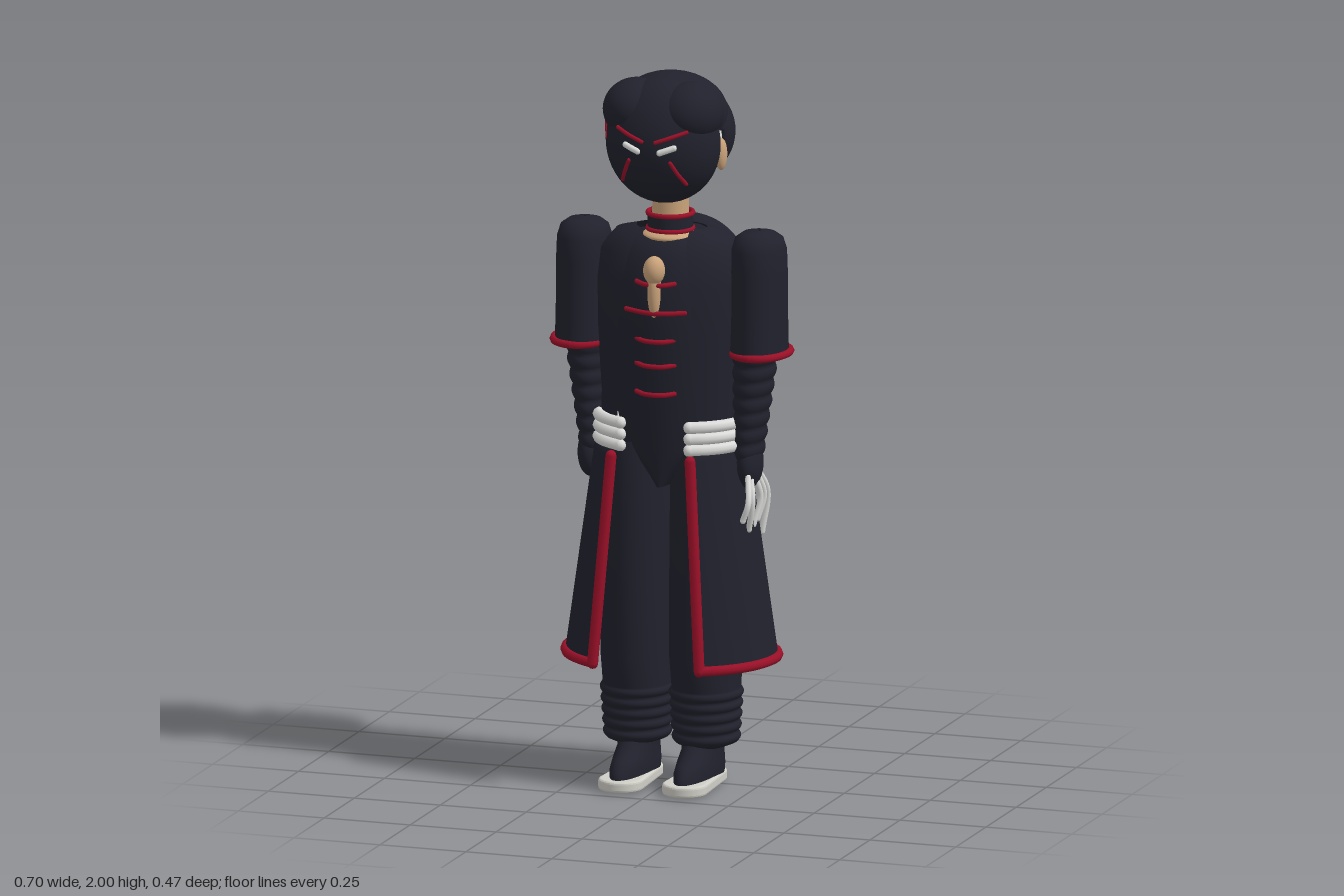
import * as THREE from 'three';
import { mergeVertices } from 'three/addons/utils/BufferGeometryUtils.js';

const mat = (name, color) =>
  Object.assign(new THREE.MeshStandardMaterial({ color, side: THREE.DoubleSide }), { name });
const V = (x, y, z) => new THREE.Vector3(x, y, z);

export function createModel() {
  const root = new THREE.Group();
  root.name = 'robedFigure';
  const cloth = mat('dark cloth', 0x20212c);
  const red = mat('red trim', 0x9a1028);
  const white = mat('white', 0xdcdcda);
  const soleWhite = mat('sole off-white', 0xcfcec6);
  const skin = mat('skin', 0xc9a27a);

  const add = (name, geo, m, parent = root) => {
    const mesh = new THREE.Mesh(geo, m);
    mesh.name = name;
    parent.add(mesh);
    return mesh;
  };
  const ball = (name, m, [x, y, z], [rx, ry, rz]) =>
    add(name, new THREE.SphereGeometry(1, 36, 24).scale(rx, ry, rz).translate(x, y, z), m);
  const tube = (name, m, pts, r, n = 24) => {
    add(name, new THREE.TubeGeometry(new THREE.CatmullRomCurve3(pts), n, r, 8), m);
    for (const p of [pts[0], pts[pts.length - 1]])
      add(name + 'End', new THREE.SphereGeometry(r, 8, 6).translate(p.x, p.y, p.z), m);
  };

  // Section: [y, half width, front z, back z, half gap at front, centre x]
  const ring = ([y, rx, zf, zb, gap = 0, cx = 0], n) => {
    const a0 = Math.asin(gap / rx);
    return Array.from({ length: n + 1 }, (_, j) => {
      const a = a0 + (2 * Math.PI - 2 * a0) * j / n, c = Math.cos(a);
      return V(cx + rx * Math.sin(a), y, c > 0 ? zf * c : -zb * c);
    });
  };
  const loft = (name, m, sections, n = 40) => {
    const pos = sections.flatMap(s => ring(s, n).flatMap(p => p.toArray()));
    const idx = [];
    for (let i = 0; i < sections.length - 1; i++)
      for (let j = 0; j < n; j++) {
        const a = i * (n + 1) + j, c = a + n + 1;
        idx.push(a, a + 1, c, a + 1, c + 1, c);
      }
    let g = new THREE.BufferGeometry();
    g.setAttribute('position', new THREE.Float32BufferAttribute(pos, 3));
    g.setIndex(idx);
    g = mergeVertices(g, 1e-5);
    g.computeVertexNormals();
    return add(name, g, m);
  };

  // Torso: inner shirt, then open jacket
  loft('shirt', cloth, [
    [0.85, 0.02, 0.12, -0.06], [0.9, 0.07, 0.132, -0.09], [0.96, 0.13, 0.138, -0.11],
    [1.1, 0.165, 0.148, -0.115], [1.3, 0.175, 0.155, -0.12], [1.42, 0.175, 0.152, -0.12],
    [1.5, 0.16, 0.125, -0.1], [1.545, 0.11, 0.095, -0.07], [1.56, 0.03, 0.04, -0.03]]);
  loft('jacket', cloth, [
    [0.95, 0.2, 0.155, -0.135, 0.115], [1.1, 0.198, 0.16, -0.13, 0.115],
    [1.28, 0.21, 0.168, -0.15, 0.11], [1.42, 0.213, 0.162, -0.148, 0.1],
    [1.5, 0.205, 0.138, -0.13, 0.085], [1.55, 0.16, 0.105, -0.1, 0.075],
    [1.565, 0.1, 0.08, -0.06, 0.07]]);

  // Keyhole of skin and the front clasps
  ball('keyholeTop', skin, [0, 1.47, 0.152], [0.03, 0.04, 0.032]);
  ball('keyholeSlit', skin, [0, 1.41, 0.15], [0.019, 0.075, 0.022]);
  [1.43, 1.35, 1.27, 1.2, 1.12].forEach((y, i) => {
    const w = i === 1 ? 0.085 : 0.055;
    tube('clasp', red, [V(-w, y + 0.003, 0.14), V(-0.025, y, 0.158), V(0.025, y, 0.158), V(w, y + 0.003, 0.14)], 0.007);
  });

  // Skirt of the coat with red edging
  const skirtTop = [0.945, 0.215, 0.215, -0.16, 0.115], hem = [0.365, 0.298, 0.258, -0.22, 0.155];
  loft('coatSkirt', cloth, [hem, skirtTop, [0.965, 0.2, 0.155, -0.13, 0.115]], 56);
  const hemPts = ring(hem, 40), topPts = ring(skirtTop, 40);
  tube('hemTrim', red, hemPts, 0.014, 100);
  for (const k of [0, 40]) tube('skirtEdgeTrim', red, [hemPts[k], topPts[k]], 0.016);

  // Sash in three bands, knot and tails
  for (const y of [0.968, 1.0, 1.032])
    tube('sash', white, ring([y, 0.208, 0.168, -0.148, 0.1], 32), 0.017, 80);
  ball('sashKnot', white, [0.165, 1.0, -0.115], [0.032, 0.036, 0.03]);
  for (const [dx, y] of [[-0.012, 0.77], [0.012, 0.85]])
    tube('sashTail', white, [V(0.165, 1, -0.13), V(0.165 + dx, 0.92, -0.138), V(0.167 + dx, y, -0.14)], 0.014);

  // Hood resting on the back
  const hood = new THREE.SphereGeometry(1, 40, 28), hp = hood.attributes.position;
  for (let i = 0; i < hp.count; i++) {
    const y = hp.getY(i), t = y < 0 ? 1 + 0.5 * y : 1;
    hp.setXYZ(i, hp.getX(i) * t * 0.165, 1.425 + y * 0.145, -0.135 + hp.getZ(i) * 0.09 + (y < 0 ? 0.02 * y : 0));
  }
  hood.computeVertexNormals();
  add('hood', hood, cloth);

  // Collar and neck
  add('neck', new THREE.CylinderGeometry(0.05, 0.052, 0.16, 28).translate(0, 1.6, 0.015), skin);
  ball('neckline', skin, [0, 1.545, 0.025], [0.075, 0.02, 0.075]);
  add('collar', new THREE.CylinderGeometry(0.062, 0.064, 0.045, 32, 1, true).translate(0, 1.583, 0.017), cloth);
  for (const y of [1.562, 1.605])
    add('collarTrim', new THREE.TorusGeometry(0.062, 0.007, 8, 36).rotateX(Math.PI / 2).translate(0, y, 0.017), red);

  for (const s of [-1, 1]) {
    // Sleeve with cuff
    const cx = s * 0.254;
    loft('upperSleeve', cloth, [
      [1.23, 0.079, 0.11, -0.09, 0, cx], [1.35, 0.077, 0.103, -0.083, 0, cx],
      [1.46, 0.077, 0.1, -0.078, 0, cx], [1.52, 0.075, 0.095, -0.074, 0, cx],
      [1.55, 0.066, 0.08, -0.062, 0, cx], [1.565, 0.045, 0.055, -0.042, 0, cx],
      [1.57, 0.004, 0.004, -0.004, 0, cx]]);
    tube('cuffTrim', red, ring([1.23, 0.077, 0.108, -0.09, 0, s * 0.26], 32), 0.011, 64);

    // Ribbed forearm
    const arm = [];
    for (let i = 0; i <= 42; i++) {
      const t = i / 42, b = 0.007 * Math.abs(Math.sin(t * Math.PI * 7));
      arm.push([0.93 + 0.31 * t, 0.032 + 0.025 * t + b, 0.068 + 0.02 * t + b, -0.05 - 0.02 * t - b, 0, s * (0.224 + 0.02 * t)]);
    }
    loft('ribbedForearm', cloth, arm, 32);
    ball('glove', cloth, [s * 0.23, 0.915, 0.015], [0.035, 0.072, 0.06]);

    // Ribbed trouser leg
    const lx = s * 0.1, leg = [[0.11, 0.06, 0.08, -0.06, 0, lx]];
    for (let i = 0; i <= 30; i++) {
      const t = i / 30, b = 0.009 * Math.abs(Math.sin(t * Math.PI * 5));
      leg.push([0.12 + 0.155 * t, 0.085 + 0.01 * t + b, 0.1 + 0.015 * t + b, -0.08 - 0.01 * t - b, 0, lx]);
    }
    leg.push([0.36, 0.1, 0.13, -0.1, 0, lx], [0.6, 0.1, 0.128, -0.1, 0, lx],
      [0.85, 0.098, 0.125, -0.1, 0, lx], [0.97, 0.09, 0.115, -0.1, 0, lx]);
    loft('trouserLeg', cloth, leg, 36);

    // Shoe
    const fx = s * 0.093;
    loft('shoe', cloth, [
      [0.03, 0.054, 0.205, -0.068, 0, fx], [0.055, 0.056, 0.2, -0.07, 0, fx],
      [0.08, 0.054, 0.17, -0.07, 0, fx], [0.105, 0.053, 0.115, -0.068, 0, fx],
      [0.14, 0.055, 0.09, -0.066, 0, fx]]);
    const foot = (w, z0, z1) => new THREE.Shape()
      .absarc(0, z1 - w, w, 0, Math.PI).absarc(0, z0 + w * 0.85, w * 0.85, Math.PI, 2 * Math.PI);
    const sole = new THREE.ExtrudeGeometry(foot(0.055, -0.07, 0.215),
      { depth: 0.016, bevelSize: 0.008, bevelThickness: 0.008, bevelSegments: 3, curveSegments: 18 });
    add('sole', sole.rotateX(Math.PI / 2).translate(fx, 0.026, 0), soleWhite);
    add('solePad', new THREE.ExtrudeGeometry(foot(0.036, -0.04, 0.185), { depth: 0.004, bevelEnabled: false })
      .rotateX(Math.PI / 2).translate(fx, 0.004, 0), cloth);

    // Back seam stripe
    tube('backStripe', red, [V(s * 0.1, 1.3, -0.135), V(s * 0.12, 1.17, -0.114), V(s * 0.145, 1.05, -0.094)], 0.008);
  }

  // Long pale claws on the left hand
  [[0.065, 0.1, 0.77], [0.045, 0.05, 0.735], [0.02, 0.012, 0.74], [-0.005, -0.022, 0.75], [-0.025, -0.06, 0.705]]
    .forEach(([z0, z1, y], i) => tube('claw', white,
      [V(0.243, 0.885, z0), V(0.256, 0.82, (z0 + z1) / 2 + (i < 2 ? 0.018 : -0.018)), V(0.24, y, z1)], 0.0085));

  // Head with a dark mask over the front
  const hy = 1.82, hz = 0.04;
  ball('skull', white, [0, hy, hz], [0.152, 0.17, 0.15]);
  const mask = new THREE.SphereGeometry(1, 40, 28, 0, Math.PI, 0, Math.PI);
  add('mask', mask.scale(0.164, 0.175, 0.135).translate(0, hy, 0.067), cloth);
  const onMask = (x, y) =>
    V(x, y, 0.067 + 0.135 * Math.sqrt(Math.max(0, 1 - (x / 0.164) ** 2 - ((y - hy) / 0.175) ** 2)));
  const stroke = (name, m, [x0, y0], [x1, y1], r) =>
    tube(name, m, [0, 0.5, 1].map(t => onMask(x0 + (x1 - x0) * t, y0 + (y1 - y0) * t)), r, 10);
  for (const s of [-1, 1]) {
    stroke('maskBrow', red, [s * 0.1, 1.87], [s * 0.02, 1.842], 0.006);
    stroke('maskMark', red, [s * 0.06, 1.785], [s * 0.092, 1.72], 0.006);
    stroke('eye', white, [s * 0.07, 1.828], [s * 0.032, 1.814], 0.009);
    ball('ear', skin, [s * 0.155, 1.785, 0.037], [0.016, 0.045, 0.022]);
    ball('frontHair', cloth, [s * 0.08, 1.905, 0.075], [0.09, 0.085, 0.1]);
  }

  // Hair: rounded crown and a flat-bottomed back
  ball('crownHair', cloth, [0, 1.885, 0.01], [0.158, 0.115, 0.15]);
  const back = new THREE.SphereGeometry(1, 40, 28).scale(0.168, 0.15, 0.13).translate(0, 1.83, -0.028);
  const bp = back.attributes.position;
  for (let i = 0; i < bp.count; i++) {
    bp.setY(i, Math.max(bp.getY(i), 1.735));
    bp.setZ(i, Math.min(bp.getZ(i), bp.getY(i) < 1.86 ? 0.015 : 1));
  }
  back.computeVertexNormals();
  add('backHair', back, cloth);

  // Crossed red pins on the right side of the head
  tube('hairPin', red, [V(-0.187, 1.925, -0.05), V(-0.162, 1.88, 0.01)], 0.006);
  tube('hairPin', red, [V(-0.178, 1.9, 0.01), V(-0.168, 1.92, -0.055)], 0.006);
  tube('hairPin', red, [V(-0.168, 1.89, 0.065), V(-0.145, 1.83, 0.125)], 0.006);
  return root;
}
